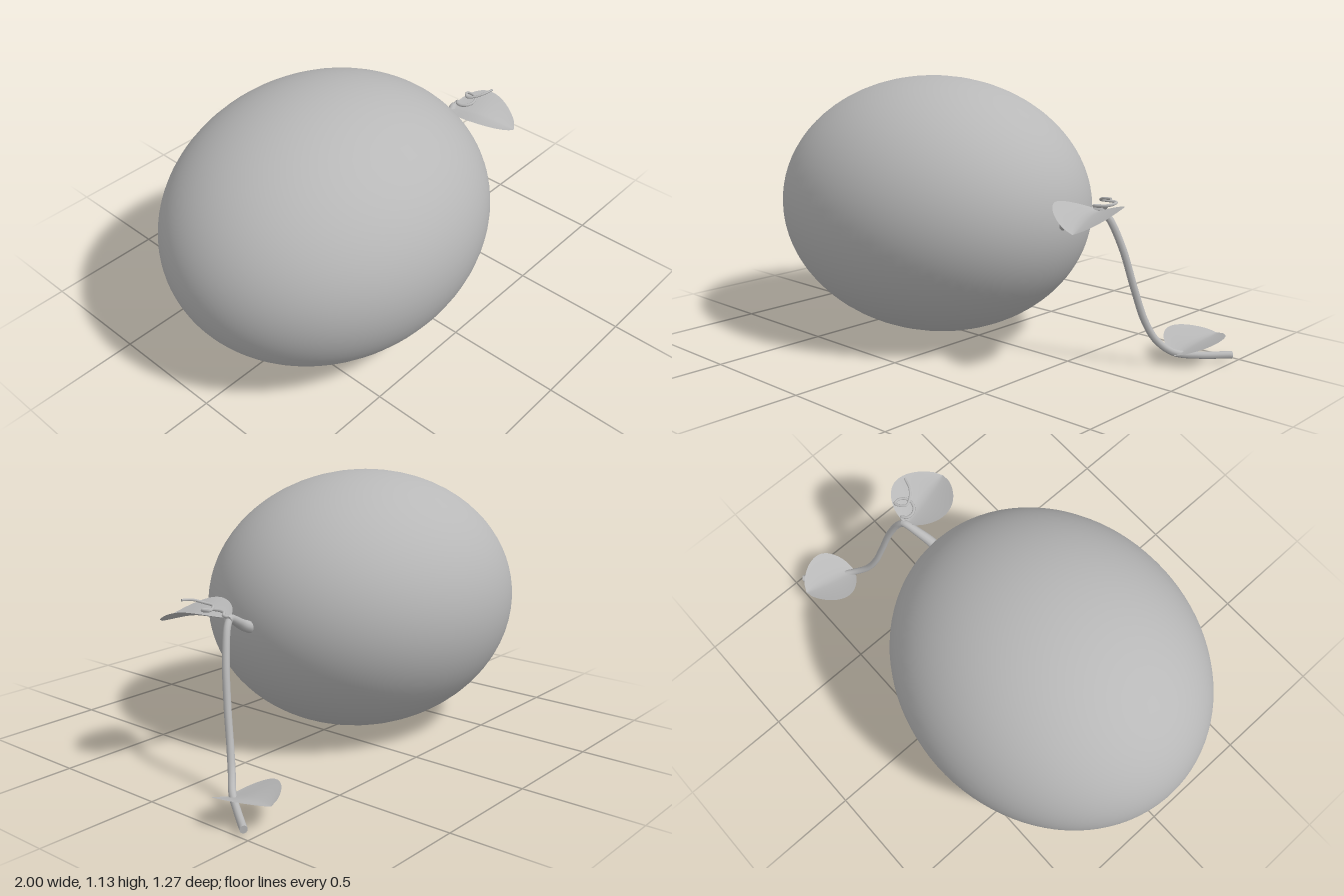
import * as THREE from 'three';

const grey = new THREE.MeshStandardMaterial({ color: 0xb8b8b8, side: THREE.DoubleSide });
grey.name = 'grey';

const V = (p) => new THREE.Vector3(...p);

function add(group, name, geometry) {
  const mesh = new THREE.Mesh(geometry, grey);
  mesh.name = name;
  group.add(mesh);
}

// Smooth round tube through points, tapering from r0 to r1 over the first part, with closed ends
function stalk(points, r0, r1, taper = 1, segments = 48, sides = 12) {
  const curve = new THREE.CatmullRomCurve3(points.map(V));
  const frames = curve.computeFrenetFrames(segments, false);
  const pos = [], idx = [];
  const ring = (t, i, r) => {
    const c = curve.getPointAt(t);
    for (let j = 0; j <= sides; j++) {
      const a = (j / sides) * Math.PI * 2;
      const p = c.clone()
        .addScaledVector(frames.normals[i], -Math.cos(a) * r)
        .addScaledVector(frames.binormals[i], Math.sin(a) * r);
      pos.push(p.x, p.y, p.z);
    }
  };
  for (let i = 0; i <= segments; i++) {
    const t = i / segments;
    ring(t, i, THREE.MathUtils.lerp(r0, r1, Math.min(1, t / taper)));
  }
  for (let i = 0; i < segments; i++) {
    for (let j = 0; j < sides; j++) {
      const a = i * (sides + 1) + j, b = a + sides + 1;
      idx.push(a, b, a + 1, b, b + 1, a + 1);
    }
  }
  // separate rings keep the end caps flat
  for (const i of [0, segments]) {
    const start = pos.length / 3;
    ring(i / segments, i, i ? r1 : r0);
    for (let j = 1; j < sides - 1; j++) {
      if (i) idx.push(start, start + j + 1, start + j);
      else idx.push(start, start + j, start + j + 1);
    }
  }
  const g = new THREE.BufferGeometry();
  g.setAttribute('position', new THREE.Float32BufferAttribute(pos, 3));
  g.setIndex(idx);
  g.computeVertexNormals();
  return g;
}

// Broad leaf folded up along a curved midrib from base to tip
function leaf(base, mid, tip, halfWidth, lift) {
  const rows = 24, cols = 12;
  const rib = new THREE.CatmullRomCurve3([base, mid, tip].map(V));
  const along = V(tip).sub(V(base)).setY(0).normalize();
  const side = along.clone().cross(new THREE.Vector3(0, 1, 0));
  const pos = [], idx = [];
  for (let i = 0; i <= rows; i++) {
    const t = i / rows;
    const c = rib.getPoint(t);
    // rounded at the base, narrowing to a blunt tip
    const w = Math.pow(Math.sin(Math.PI * Math.pow(t, 0.9)), 0.62);
    for (let j = 0; j <= cols; j++) {
      const u = (j / cols) * 2 - 1;
      const p = c.clone().addScaledVector(side, u * w * halfWidth);
      pos.push(p.x, p.y + lift * w * Math.pow(Math.abs(u), 1.3), p.z);
    }
  }
  for (let i = 0; i < rows; i++) {
    for (let j = 0; j < cols; j++) {
      const a = i * (cols + 1) + j, b = a + cols + 1;
      idx.push(a, a + 1, b, b, a + 1, b + 1);
    }
  }
  const g = new THREE.BufferGeometry();
  g.setAttribute('position', new THREE.Float32BufferAttribute(pos, 3));
  g.setIndex(idx);
  g.computeVertexNormals();
  return g;
}

export function createModel() {
  const group = new THREE.Group();
  group.name = 'melonOnVine';

  // Fruit lying on its side, poles along x
  const fruit = new THREE.SphereGeometry(1, 64, 48);
  fruit.rotateZ(-Math.PI / 2);
  fruit.scale(0.733, 0.563, 0.636);
  fruit.translate(-0.268, 0.563, 0);
  add(group, 'fruit', fruit);

  // Stem rising out of the fruit end
  add(group, 'stem', stalk(
    [[0.44, 0.56, 0], [0.5, 0.583, -0.005], [0.56, 0.615, -0.025], [0.615, 0.64, -0.045], [0.632, 0.638, -0.052]],
    0.026, 0.016));

  // Vine dropping to the ground and trailing off
  add(group, 'vine', stalk(
    [[0.615, 0.642, -0.045], [0.645, 0.612, -0.06], [0.69, 0.49, -0.095], [0.725, 0.32, -0.135],
      [0.752, 0.19, -0.172], [0.785, 0.105, -0.21], [0.835, 0.052, -0.262], [0.9, 0.033, -0.35], [0.985, 0.026, -0.465]],
    0.015, 0.015, 1, 64));

  // Two leaves, one at the bend and one near the ground
  add(group, 'upperLeaf', leaf([0.615, 0.64, -0.045], [0.655, 0.64, 0.09], [0.705, 0.6, 0.243], 0.139, 0.042));
  add(group, 'lowerLeaf', leaf([0.85, 0.042, -0.252], [0.865, 0.072, -0.37], [0.888, 0.09, -0.506], 0.133, 0.04));

  // Tendril: one rising loop, then a loose tail
  const tendril = [[0.615, 0.645, -0.045]];
  for (let k = 0; k <= 10; k++) {
    const a = -2.0 + (k / 10) * Math.PI * 2 * -1.1;
    tendril.push([0.665 + 0.044 * Math.cos(a), 0.658 + 0.004 * k, -0.008 + 0.04 * Math.sin(a)]);
  }
  tendril.splice(9);
  tendril.push([0.66, 0.693, 0.0], [0.675, 0.702, 0.035], [0.705, 0.714, 0.06], [0.752, 0.72, 0.074]);
  add(group, 'tendril', stalk(tendril, 0.007, 0.005, 1, 96, 8));

  return group;
}
